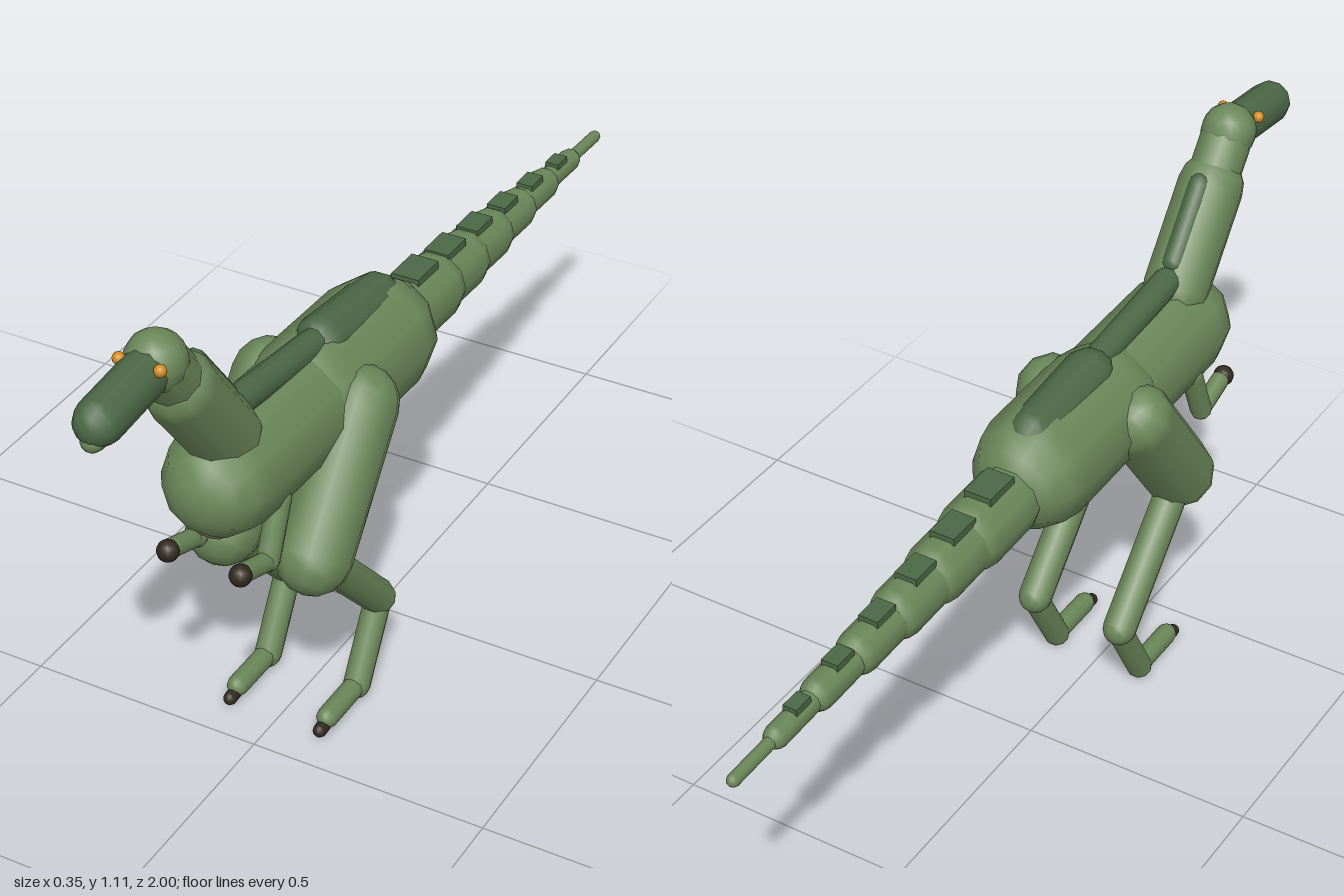
import * as THREE from 'three';

const material = (name, color) => {
  const m = new THREE.MeshStandardMaterial({ color });
  m.name = name;
  return m;
};

export function createModel() {
  const green = material('leaf green', 0x6b8759);
  const dark = material('dark green', 0x4c6846);
  const tan = material('belly tan', 0x9a8068);
  const claw = material('claw brown', 0x30281e);
  const amber = material('eye amber', 0xd08a20);

  const model = new THREE.Group();
  model.name = 'bipedalDinosaur';
  const up = new THREE.Vector3(0, 1, 0);

  // Capsule whose centre line runs between two [x, y, z] points
  function limb(name, a, b, r, mat, parent = model) {
    const p = new THREE.Vector3(...a), q = new THREE.Vector3(...b);
    const dir = q.clone().sub(p);
    const mesh = new THREE.Mesh(new THREE.CapsuleGeometry(r, dir.length(), 4, 10), mat);
    mesh.name = name;
    mesh.position.copy(p).add(q).multiplyScalar(0.5);
    mesh.quaternion.setFromUnitVectors(up, dir.normalize());
    parent.add(mesh);
    return mesh;
  }

  function ball(name, p, r, mat, parent = model) {
    const mesh = new THREE.Mesh(new THREE.SphereGeometry(r, 12, 8), mat);
    mesh.name = name;
    mesh.position.set(...p);
    parent.add(mesh);
  }

  // Body
  limb('hips', [0, 0.676, 0.015], [0, 0.682, 0.26], 0.124, green);
  limb('chest', [0, 0.682, 0.2], [0, 0.69, 0.58], 0.112, green);
  limb('belly', [0, 0.63, 0.27], [0, 0.636, 0.6], 0.06, tan);
  limb('hipSaddle', [0, 0.755, 0.01], [0, 0.775, 0.215], 0.055, dark);
  limb('backRidge', [0, 0.79, 0.25], [0, 0.82, 0.53], 0.03, dark);

  // Neck and head
  limb('neck', [0, 0.78, 0.57], [0, 0.955, 0.705], 0.07, green);
  limb('neckRidge', [0, 0.85, 0.56], [0, 0.98, 0.66], 0.026, dark);
  limb('upperNeck', [0, 0.96, 0.705], [0, 1.03, 0.76], 0.055, green);
  ball('head', [0, 1.05, 0.775], 0.058, green);
  limb('snout', [0, 1.047, 0.8], [0, 1.031, 0.952], 0.045, dark);
  limb('jaw', [0, 1.012, 0.82], [0, 1.005, 0.972], 0.022, green);

  // Tail of shrinking segments, each with a dark plate on top
  const radii = [0.072, 0.063, 0.054, 0.044, 0.034, 0.024, 0.013];
  const step = 0.128;
  radii.forEach((r, i) => {
    const z = -0.09 - i * step;
    const y = 0.665 - i * 0.0043;
    limb('tailSegment', [0, y, z], [0, y - 0.0043, z - step], r, green);
    if (i < 6) {
      const w = 0.06 - i * 0.006;
      const plate = new THREE.Mesh(new THREE.BoxGeometry(w, 0.02, 0.085 - i * 0.008), dark);
      plate.name = 'tailPlate';
      plate.position.set(0, y + r - 0.005, z - 0.062);
      model.add(plate);
    }
  });
  limb('tailUnderside', [0, 0.624, -0.1], [0, 0.628, -0.48], 0.027, tan);

  // Paired parts
  for (const s of [1, -1]) {
    const side = s > 0 ? 'left' : 'right';
    ball(side + 'Eye', [s * 0.041, 1.07, 0.825], 0.012, amber);

    const leg = new THREE.Group();
    leg.name = side + 'Leg';
    model.add(leg);
    const x = s * 0.102;
    limb('thigh', [s * 0.098, 0.685, 0.245], [s * 0.098, 0.445, 0.425], 0.076, green, leg);
    limb('shin', [x, 0.42, 0.4], [x, 0.192, 0.185], 0.036, green, leg);
    limb('ankle', [x, 0.19, 0.182], [x, 0.03, 0.272], 0.028, green, leg);
    limb('foot', [x, 0.032, 0.272], [x, 0.032, 0.39], 0.022, green, leg);
    limb('toeClaw', [x, 0.024, 0.385], [x, 0.02, 0.42], 0.014, claw, leg);

    const arm = new THREE.Group();
    arm.name = side + 'Arm';
    model.add(arm);
    const ax = s * 0.077;
    limb('upperArm', [ax, 0.625, 0.51], [ax, 0.515, 0.555], 0.023, green, arm);
    limb('forearm', [ax, 0.513, 0.555], [ax, 0.54, 0.635], 0.02, green, arm);
    ball('handClaw', [ax, 0.543, 0.652], 0.022, claw, arm);
  }

  return model;
}
